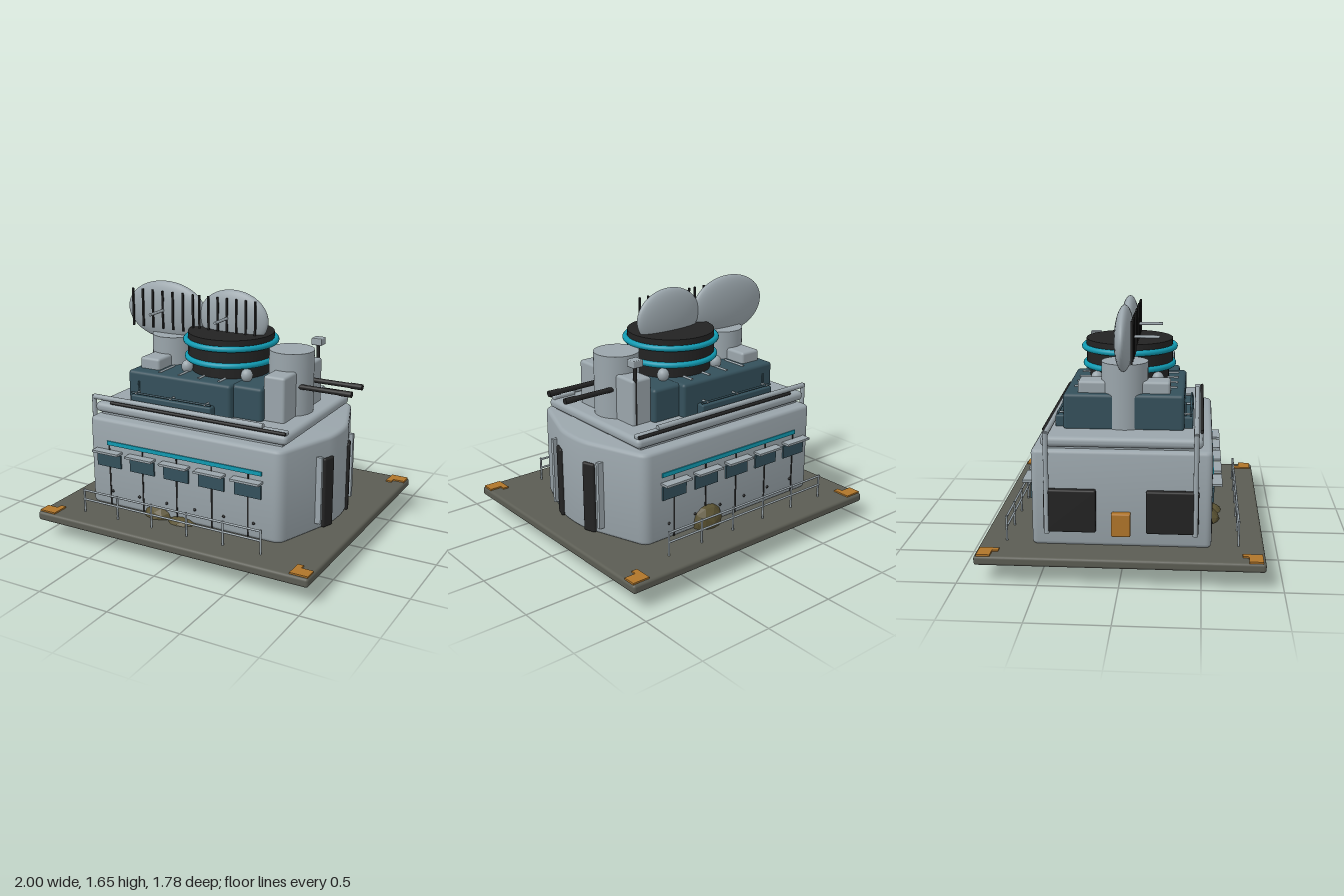
import * as THREE from 'three';
import { toCreasedNormals } from 'three/addons/utils/BufferGeometryUtils.js';
import { RoundedBoxGeometry } from 'three/addons/geometries/RoundedBoxGeometry.js';

const paint = (name, color, extra = {}) => {
  const m = new THREE.MeshStandardMaterial({ color, ...extra });
  m.name = name;
  return m;
};

export function createModel() {
  const root = new THREE.Group();
  root.name = 'fortifiedStation';
  const grey = paint('paleGrey', 0x9aa5ab);
  const black = paint('black', 0x232323);
  const slate = paint('slateBlue', 0x34505b);
  const teal = paint('teal', 0x109ab2);
  const ground = paint('groundGrey', 0x5b5c53);
  const orange = paint('orange', 0xb0752a);
  const rockMat = paint('olive', 0x5a5232, { flatShading: true });

  const add = (name, geo, mat, x = 0, y = 0, z = 0) => {
    const m = new THREE.Mesh(geo, mat);
    m.name = name;
    m.position.set(x, y, z);
    root.add(m);
    return m;
  };
  // Box given by its limits on each axis; r rounds the edges
  const box = (name, mat, x0, x1, y0, y1, z0, z1, r = 0) => {
    const s = [x1 - x0, y1 - y0, z1 - z0];
    const geo = r ? new RoundedBoxGeometry(...s, 3, r) : new THREE.BoxGeometry(...s);
    return add(name, geo, mat, (x0 + x1) / 2, (y0 + y1) / 2, (z0 + z1) / 2);
  };
  // Rod between two points
  const rod = (name, mat, a, b, r) => {
    const A = new THREE.Vector3(...a), B = new THREE.Vector3(...b);
    const d = B.clone().sub(A);
    const m = add(name, new THREE.CylinderGeometry(r, r, d.length(), 12), mat);
    m.position.copy(A.add(B).multiplyScalar(0.5));
    m.quaternion.setFromUnitVectors(new THREE.Vector3(0, 1, 0), d.normalize());
    return m;
  };
  const drum = (name, mat, x, y0, y1, z, r) =>
    add(name, new THREE.CylinderGeometry(r, r, y1 - y0, 40), mat, x, (y0 + y1) / 2, z);
  // Box on the -z or +z side, from z distance a to b
  const sideBox = (name, mat, s, x0, x1, y0, y1, a, b, r = 0) =>
    box(name, mat, x0, x1, y0, y1, Math.min(s * a, s * b), Math.max(s * a, s * b), r);

  // Ground slab with corner markers
  box('groundSlab', ground, -1, 1, 0.12, 0.18, -0.89, 0.89, 0.018);
  for (const sx of [-1, 1]) for (const sz of [-1, 1]) {
    add('cornerMarker', new THREE.BoxGeometry(0.12, 0.012, 0.085), orange, sx * 0.932, 0.184, sz * 0.83);
    add('cornerMarkerArm', new THREE.BoxGeometry(0.04, 0.012, 0.04), orange, sx * 0.892, 0.184, sz * 0.77);
  }

  // Boulders: centre, then radii
  for (const [x, y, z, a, b, c] of [
    [-0.08, 0.13, 0.08, 0.18, 0.1, 0.13], [0.1, 0.12, -0.05, 0.18, 0.12, 0.13],
    [0.27, 0.15, 0.0, 0.14, 0.07, 0.13], [-0.25, 0.18, 0.53, 0.11, 0.08, 0.09],
    [-0.06, 0.16, 0.56, 0.11, 0.055, 0.08], [0.15, 0.22, -0.54, 0.12, 0.11, 0.1],
  ]) add('boulder', new THREE.IcosahedronGeometry(1, 1), rockMat, x, y, z).scale.set(a, b, c);

  // Hull: rounded at the back, tapered to a blunt nose at +x
  const plan = new THREE.Shape();
  plan.moveTo(-0.74, -0.56);
  plan.lineTo(0.6, -0.56);
  plan.quadraticCurveTo(0.655, -0.56, 0.675, -0.505);
  plan.lineTo(0.8, -0.16);
  plan.quadraticCurveTo(0.82, -0.1, 0.82, 0);
  plan.quadraticCurveTo(0.82, 0.1, 0.8, 0.16);
  plan.lineTo(0.675, 0.505);
  plan.quadraticCurveTo(0.655, 0.56, 0.6, 0.56);
  plan.lineTo(-0.74, 0.56);
  plan.quadraticCurveTo(-0.78, 0.56, -0.78, 0.52);
  plan.lineTo(-0.78, -0.52);
  plan.quadraticCurveTo(-0.78, -0.56, -0.74, -0.56);
  const hullGeo = new THREE.ExtrudeGeometry(plan, {
    depth: 0.57, bevelSize: 0.025, bevelOffset: -0.025, bevelThickness: 0.025, bevelSegments: 3, curveSegments: 6,
  });
  hullGeo.rotateX(-Math.PI / 2);
  add('hull', toCreasedNormals(hullGeo, 0.6), grey, 0, 0.205, 0);
  box('roofSlab', grey, -0.78, 0.66, 0.815, 0.882, -0.5, 0.5, 0.03);
  box('roofCollar', grey, -0.74, 0.62, 0.78, 0.84, -0.47, 0.47);

  // Nose slots and uprights, and the rear doors
  for (const s of [-1, 1]) {
    const slot = add('noseSlot', new RoundedBoxGeometry(0.03, 0.48, 0.09, 3, 0.014), black, 0.8, 0.425, s * 0.165);
    slot.rotation.y = s * -0.35;
    box('noseUpright', grey, 0.755, 0.8, 0.235, 0.69, s * 0.255 - 0.012, s * 0.255 + 0.012);
    sideBox('rearDoor', black, s, -0.82, -0.775, 0.28, 0.555, 0.155, 0.48, 0.012);
  }
  box('rearLocker', orange, -0.83, -0.775, 0.26, 0.41, -0.06, 0.06, 0.01);

  for (const s of [-1, 1]) {
    // Long side: stripe, windows, awnings, seams and rivets
    sideBox('sideStripe', teal, s, -0.64, 0.525, 0.62, 0.648, 0.558, 0.568);
    for (let i = 0; i < 5; i++) {
      const x = -0.626 + i * 0.264;
      sideBox('window', slate, s, x - 0.095, x + 0.095, 0.465, 0.555, 0.555, 0.572);
      sideBox('awning', grey, s, x - 0.103, x + 0.103, 0.57, 0.585, 0.555, 0.622);
      sideBox('seam', black, s, x - 0.005, x + 0.005, 0.19, 0.62, 0.555, 0.564);
    }
    for (let i = 0; i < 6; i++)
      add('rivet', new THREE.SphereGeometry(0.01, 10, 8), black, -0.61 + i * 0.216, 0.288, s * 0.56);

    // Outer railing
    for (const y of [0.27, 0.335])
      rod('handrail', grey, [-0.73, y, s * 0.73], [0.61, y, s * 0.73], 0.007);
    for (let i = 0; i < 6; i++)
      rod('railPost', grey, [-0.722 + i * 0.266, 0.17, s * 0.73], [-0.722 + i * 0.266, 0.345, s * 0.73], 0.007);

    // Roof pipes
    rod('roofPipe', grey, [-0.81, 0.908, s * 0.46], [0.48, 0.908, s * 0.46], 0.018);
    rod('downPipe', grey, [-0.81, 0.918, s * 0.46], [-0.81, 0.27, s * 0.46], 0.016);
    rod('roofCable', black, [-0.65, 0.893, s * 0.492], [0.65, 0.893, s * 0.492], 0.011);
    box('pipeCap', grey, 0.48, 0.65, 0.875, 0.905, s * 0.46 - 0.02, s * 0.46 + 0.02, 0.01);

    // Upper deck side equipment
    sideBox('sideLocker', slate, s, -0.53, 0.085, 0.87, 0.955, 0.37, 0.435, 0.01);
    rod('lockerRail', slate, [-0.53, 0.967, s * 0.42], [0.08, 0.967, s * 0.42], 0.007);
    for (const x of [-0.49, -0.22, 0.04])
      rod('railBracket', grey, [x, 0.967, s * 0.37], [x, 0.967, s * 0.43], 0.007);
    rod('lockerUpright', slate, [-0.49, 0.955, s * 0.386], [-0.49, 1.04, s * 0.386], 0.006);
    for (const x of [-0.36, -0.21, -0.06, 0.09])
      rod('deckRib', grey, [x, 1.105, s * 0.15], [x, 1.105, s * 0.33], 0.009);
    for (const x of [-0.225, 0.225])
      add('sensorDome', new THREE.SphereGeometry(0.04, 20, 14), grey, x, 1.135, s * 0.2).scale.y = 1.1;
  }

  // Upper deck
  box('upperDeck', slate, -0.58, 0.2, 0.87, 1.105, -0.38, 0.38, 0.022);
  box('upperDeckNose', slate, 0.17, 0.4, 0.87, 1.1, -0.33, 0.33, 0.022);

  // End towers with shoulder blocks
  for (const s of [-1, 1]) {
    drum('tower', grey, s * 0.45, 0.87, 1.295, 0, 0.148);
    for (const z of [-1, 1])
      sideBox('towerShoulder', grey, z, s * 0.465 - 0.075, s * 0.465 + 0.075, 0.87, 1.18, 0.1, 0.29, 0.018);
  }

  // Twin barrels
  for (const z of [-0.09, 0.09]) {
    rod('barrel', black, [0.5, 1.077, z], [0.85, 1.077, z], 0.017);
    rod('muzzle', black, [0.83, 1.077, z], [0.912, 1.077, z], 0.02);
  }

  // Mast with sensor head
  rod('mast', black, [0.512, 0.87, -0.28], [0.512, 1.28, -0.28], 0.012);
  box('mastHead', grey, 0.475, 0.55, 1.268, 1.316, -0.316, -0.244, 0.006);

  // Central turret with rings
  drum('turretBase', black, 0, 1.08, 1.19, 0, 0.265);
  drum('turretDrum', black, 0, 1.18, 1.365, 0, 0.29);
  for (const [y, r] of [[1.31, 0.302], [1.196, 0.292]]) {
    const ring = add('turretRing', new THREE.TorusGeometry(r, 0.02, 12, 56), teal, 0, y, 0);
    ring.rotation.x = Math.PI / 2;
  }

  // Oval dishes with slats and feed arms
  for (const [name, x, rx, ry, feedX, step] of [
    ['rearDish', -0.505, 0.31, 0.203, -0.5, 0.08], ['turretDish', 0.018, 0.258, 0.192, 0, 0.07],
  ]) {
    add(name, new THREE.SphereGeometry(1, 40, 24), grey, x, 1.448, 0).scale.set(rx, ry, 0.06);
    for (let i = -3; i <= 3; i++)
      box('dishSlat', black, feedX + i * step - 0.006, feedX + i * step + 0.006, 1.33, 1.592, 0.055, 0.067);
    rod('feedArm', grey, [feedX, 1.457, 0.03], [feedX, 1.457, 0.22], 0.01);
  }
  return root;
}
